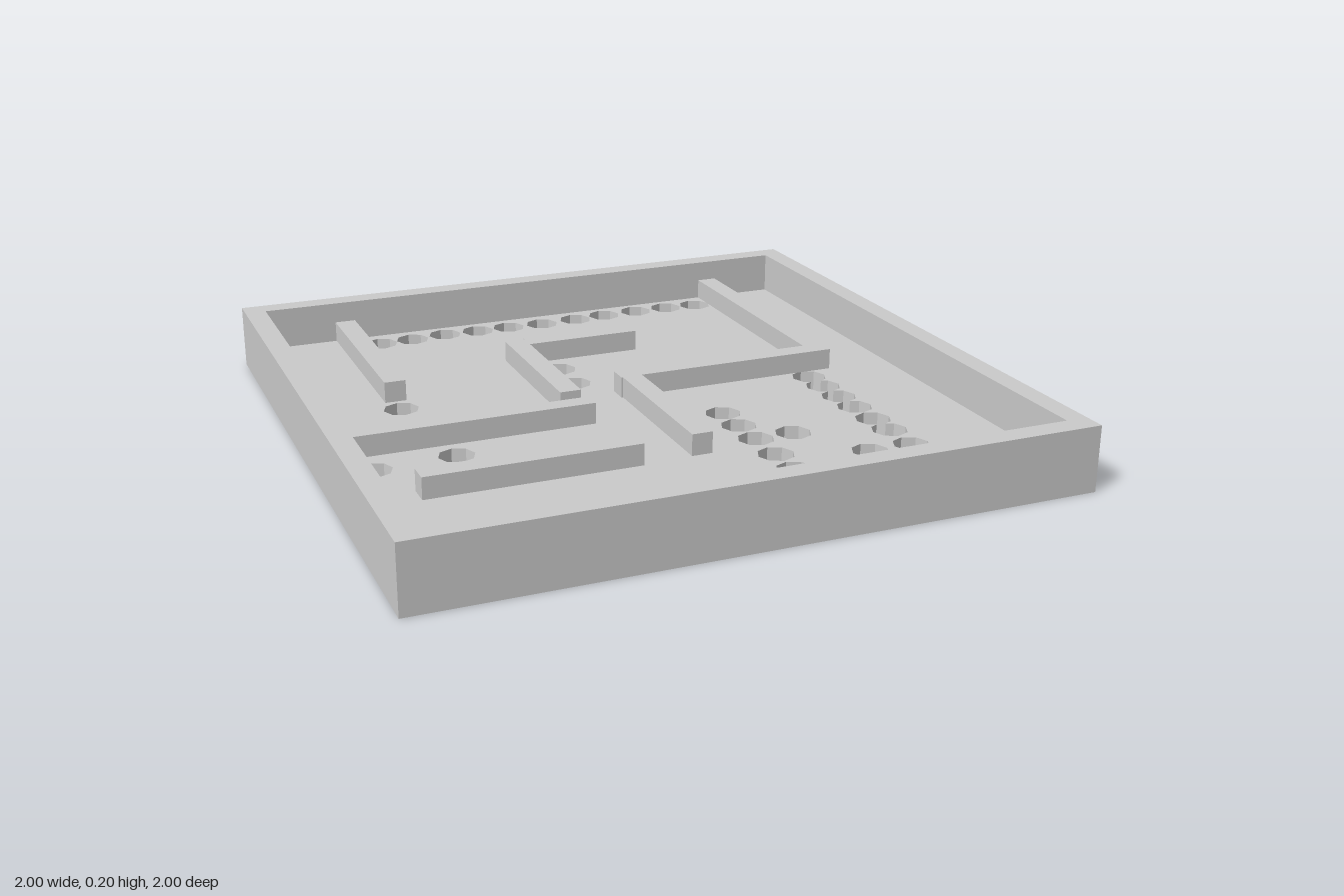
import * as THREE from 'three';

const FLOOR = 0.067, PARTITION = 0.133, HEIGHT = 0.2;
const INNER = 0.933; // half width inside the rim
const R = 0.055;     // hole radius
const C = R * Math.SQRT1_2;

const material = new THREE.MeshStandardMaterial({ color: 0xcccccc, flatShading: true });

function squarePoints(h) {
  return [[-h, -h], [h, -h], [h, h], [-h, h]].map(([x, y]) => new THREE.Vector2(x, y));
}

// Outline of octagonal holes in a column at x, merged where neighbours overlap.
function holeChain(x, zs) {
  const right = [[0, zs[0] - R]];
  zs.forEach((z, i) => {
    right.push([C, z - C], [R, z], [C, z + C]);
    if (i < zs.length - 1) {
      const half = (zs[i + 1] - z) / 2;
      right.push([(R - half) * (1 + Math.SQRT2), z + half]);
    }
  });
  right.push([0, zs[zs.length - 1] + R]);
  const left = right.slice(1, -1).reverse().map(([w, z]) => [-w, z]);
  return new THREE.Path([...right, ...left].map(([w, z]) => new THREE.Vector2(x + w, z)));
}

// Flat plate lying in the ground plane between two heights.
function plate(name, shape, bottom, top) {
  const geometry = new THREE.ExtrudeGeometry(shape, { depth: top - bottom, bevelEnabled: false });
  geometry.rotateX(Math.PI / 2).translate(0, top, 0);
  const mesh = new THREE.Mesh(geometry, material);
  mesh.name = name;
  return mesh;
}

export function createModel() {
  const group = new THREE.Group();
  group.name = 'mazeTray';

  // Floor with through holes
  const singles = [
    // back row
    [-0.566, -0.845], [-0.455, -0.85], [-0.337, -0.86], [-0.219, -0.857], [-0.107, -0.855],
    [0.014, -0.848], [0.141, -0.852], [0.254, -0.86], [0.377, -0.862], [0.495, -0.86], [0.606, -0.852],
    // scattered
    [-0.096, -0.366], [-0.098, -0.222], [-0.668, -0.203], [-0.35, 0.003], [-0.866, 0.24],
    [-0.62, 0.222], [0.348, 0.425], [0.487, 0.634],
    // middle column
    [0.225, 0.201], [0.225, 0.312], [0.225, 0.427], [0.225, 0.556], [0.225, 0.674],
    // front row
    [-0.588, 0.874], [-0.457, 0.874], [-0.305, 0.876], [-0.185, 0.872], [0.027, 0.86], [0.225, 0.86],
  ];
  // Overlapping holes of the side column
  const chains = [[0.005, 0.1, 0.202, 0.302], [0.414, 0.511], [0.634, 0.738, 0.822]];

  const floor = new THREE.Shape(squarePoints(1));
  for (const [x, z] of singles) floor.holes.push(holeChain(x, [z]));
  for (const zs of chains) floor.holes.push(holeChain(0.623, zs));
  group.add(plate('floor', floor, 0, FLOOR));

  // Outer rim
  const rim = new THREE.Shape(squarePoints(1));
  rim.holes.push(new THREE.Path(squarePoints(INNER)));
  group.add(plate('rim', rim, FLOOR, HEIGHT));

  // Maze partitions: x0, x1, z0, z1
  const partitions = [
    [-0.7, -0.633, -INNER, -0.273],
    [0.658, 0.723, -INNER, -0.043],
    [-0.008, 0.658, -0.107, -0.043],
    [-0.003, 0.061, -0.043, 0.48],
    [-0.23, -0.163, -0.515, 0.013],
    [-0.163, 0.211, -0.526, -0.46],
    [-INNER, -0.163, 0.078, 0.137],
    [-0.797, -0.155, 0.425, 0.492],
  ];
  const maze = new THREE.Group();
  maze.name = 'partitions';
  for (const [x0, x1, z0, z1] of partitions) {
    const wall = new THREE.Mesh(new THREE.BoxGeometry(x1 - x0, PARTITION - FLOOR, z1 - z0), material);
    wall.position.set((x0 + x1) / 2, (PARTITION + FLOOR) / 2, (z0 + z1) / 2);
    wall.name = 'partition';
    maze.add(wall);
  }
  group.add(maze);

  return group;
}
